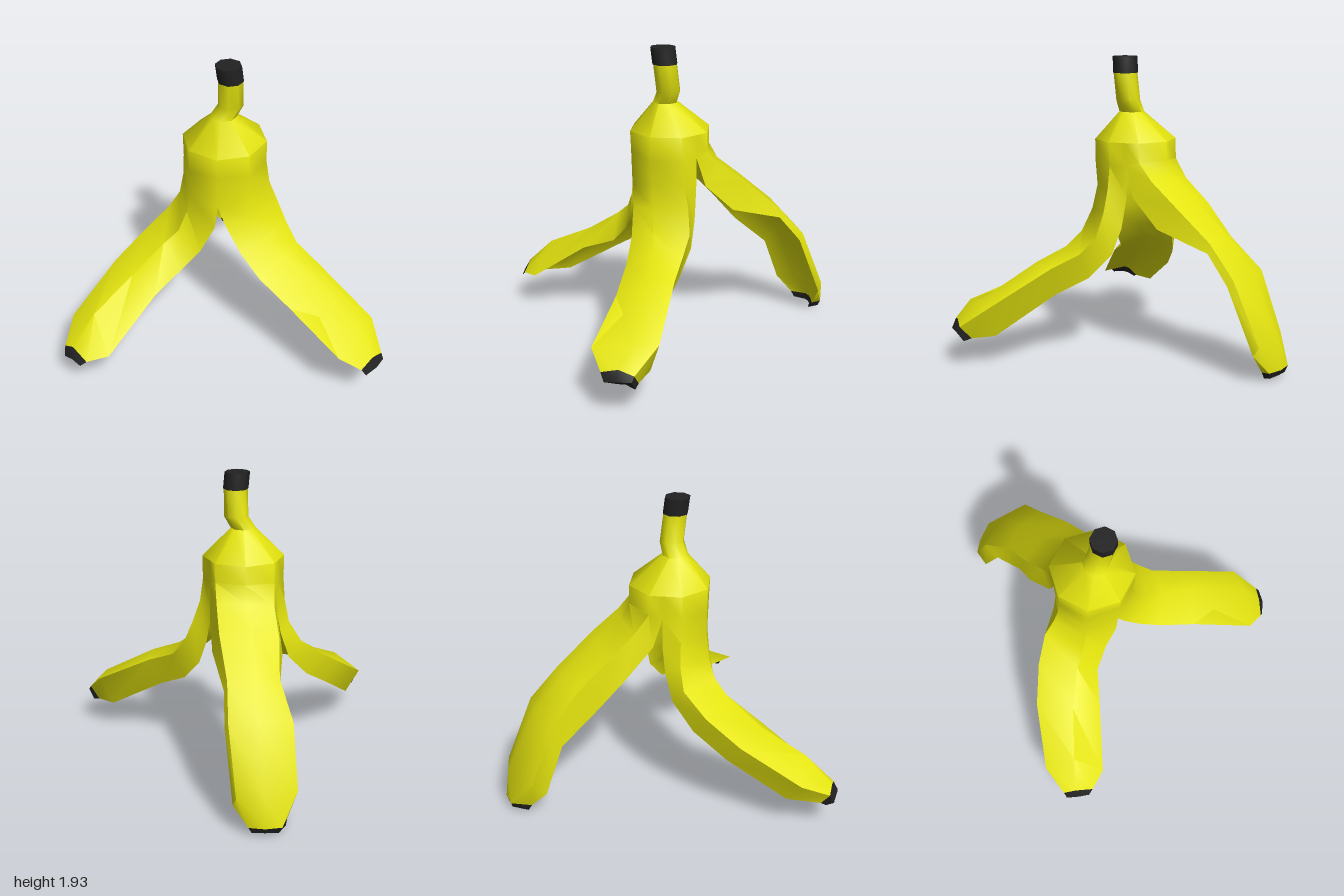
import * as THREE from 'three';
import { mergeGeometries, toCreasedNormals } from 'three/addons/utils/BufferGeometryUtils.js';

const yellow = new THREE.MeshStandardMaterial({ color: 0xe4e40f, side: THREE.DoubleSide });
yellow.name = 'banana yellow';
const black = new THREE.MeshStandardMaterial({ color: 0x222222, side: THREE.DoubleSide });
black.name = 'tip black';

// Skins a list of cross-sections (each a list of [x, y, z]), ordered from top to bottom
function loft(rows) {
  const n = rows[0].length;
  const index = [];
  for (let i = 0; i < rows.length - 1; i++) {
    for (let j = 0; j < n - 1; j++) {
      const a = i * n + j, b = a + 1, c = a + n, d = c + 1;
      index.push(a, b, c, b, d, c);
    }
  }
  const geometry = new THREE.BufferGeometry();
  geometry.setAttribute('position', new THREE.Float32BufferAttribute(rows.flat(2), 3));
  geometry.setIndex(index);
  return geometry;
}

// Joins lofts into one mesh, smooth across their shared edges
function part(name, material, lofts) {
  const mesh = new THREE.Mesh(toCreasedNormals(mergeGeometries(lofts), 0.9), material);
  mesh.name = name;
  return mesh;
}

// Eight-sided ring, running from the front round by -x
function ring([y, cx, cz, r]) {
  return Array.from({ length: 9 }, (_, k) => {
    const t = (k % 8) * Math.PI / 4;
    return [cx - r * Math.sin(t), y, cz + r * Math.cos(t)];
  });
}

// Inner face of one cross-section: the ridges sink towards the chord and close into a narrow groove
function innerRow(outer) {
  const points = outer.map(p => new THREE.Vector3(...p));
  const chord = new THREE.Line3(points[0], points.at(-1));
  const middle = chord.getCenter(new THREE.Vector3());
  return points.map((p, j) => {
    if (j === 0 || j === points.length - 1) return p.toArray();
    const foot = chord.closestPointToPoint(p, true, new THREE.Vector3());
    const height = p.clone().sub(foot).multiplyScalar(0.5);
    return foot.lerp(middle, 0.5).add(height).toArray();
  });
}

// Closed cross-sections of a thick strip of peel between lengthwise rails
function peelSections(rails) {
  const outer = rails[0].map((_, i) => rails.map(rail => rail[i]));
  return outer.map(row => [...row, ...innerRow(row).toReversed().slice(1)]);
}

// Rails: front edge, front ridge, back ridge, back edge
const rightRails = [
  [[-.1, 1.4, .37], [-.1, 1.27, .365], [-.1, 1.05, .36], [-.12, .9, .37], [-.21, .72, .38],
    [-.33, .59, .44], [-.46, .51, .62], [-.69, .25, .93], [-.82, .23, .98], [-.86, .2, .99]],
  [[-.285, 1.4, .293], [-.285, 1.25, .29], [-.29, 1.08, .29], [-.31, .95, .3], [-.36, .82, .33],
    [-.45, .74, .38], [-.62, .59, .54], [-.81, .45, .78], [-.92, .285, .92], [-.92, .22, .96]],
  [[-.362, 1.4, .108], [-.36, 1.25, .11], [-.37, 1.1, .1], [-.4, .95, .09], [-.48, .82, .09],
    [-.62, .69, .19], [-.78, .55, .36], [-.98, .34, .69], [-.985, .25, .88], [-.985, .19, .91]],
  [[-.317, 1.4, 0], [-.315, 1.25, 0], [-.31, 1.06, 0], [-.34, .9, .01], [-.4, .72, .04],
    [-.53, .56, .14], [-.69, .42, .31], [-.88, .2, .64], [-.95, .18, .84], [-.96, .165, .87]],
];

// Rails: back edge, back ridge, front ridge, front edge
const leftRails = [
  [[.117, 1.4, 0], [.115, 1.25, 0], [.11, 1.05, 0], [.14, .85, .02], [.19, .68, .06],
    [.29, .53, .17], [.45, .43, .31], [.8, .2, .5], [.91, .19, .6], [.95, .175, .63]],
  [[.162, 1.4, .108], [.16, 1.25, .1], [.18, 1.1, .1], [.23, .96, .09], [.29, .81, .1],
    [.37, .7, .17], [.53, .62, .27], [.89, .4, .47], [.97, .27, .64], [.985, .24, .66]],
  [[.085, 1.4, .293], [.085, 1.25, .29], [.08, 1.1, .28], [.12, .95, .29], [.2, .81, .31],
    [.32, .72, .34], [.5, .64, .42], [.85, .41, .61], [.92, .3, .72], [.95, .24, .74]],
  [[-.1, 1.4, .37], [-.1, 1.27, .365], [-.1, 1.05, .36], [-.05, .92, .37], [.05, .75, .41],
    [.18, .62, .48], [.39, .51, .6], [.72, .36, .83], [.86, .27, .81], [.89, .22, .8]],
];

// Rails: right edge, right ridge, spine, left ridge, left edge (this strip twists as it falls)
const backRails = [
  [[-.317, 1.4, 0], [-.315, 1.25, 0], [-.31, 1.06, -.06], [-.33, .86, -.25], [-.3, .67, -.41],
    [-.33, .46, -.65], [-.38, .16, -.77], [-.32, .05, -.86], [-.31, .01, -.88]],
  [[-.285, 1.4, -.077], [-.285, 1.27, -.08], [-.28, 1.15, -.17], [-.3, 1.0, -.34], [-.29, .81, -.53],
    [-.36, .61, -.72], [-.38, .23, -.86], [-.28, .06, -.985], [-.26, .02, -.975]],
  [[-.1, 1.4, -.154], [-.1, 1.28, -.155], [-.1, 1.18, -.21], [-.12, 1.05, -.37], [-.14, .85, -.6],
    [-.16, .64, -.79], [-.18, .24, -.98], [-.18, .06, -1], [-.18, .025, -.985]],
  [[.085, 1.4, -.077], [.085, 1.28, -.08], [.08, 1.17, -.18], [.07, 1.04, -.35], [.03, .83, -.6],
    [.03, .63, -.78], [-.01, .23, -.95], [-.08, .06, -.98], [-.1, .02, -.97]],
  [[.117, 1.4, 0], [.115, 1.25, 0], [.12, 1.06, -.06], [.11, .88, -.25], [.05, .77, -.6],
    [.05, .59, -.75], [.01, .18, -.92], [-.09, .05, -.92], [-.13, 0, -.91]],
];

export function createModel() {
  const model = new THREE.Group();
  model.name = 'bananaPeel';

  // Stem flaring out into the shoulder, given as [y, centre x, centre z, radius]
  const body = [
    [1.84, -.052, .153, .076], [1.65, -.055, .13, .077], [1.575, -.1, .14, .08],
    [1.4, -.1, .108, .262],
  ];
  const skin = [loft(body.map(ring))];

  // Dark cut end of the stem
  const cap = [
    [1.93, -.062, .162, 0], [1.93, -.062, .162, .08], [1.825, -.052, .152, .08], [1.825, -.052, .152, .07],
  ];
  model.add(part('stemCap', black, [loft(cap.map(ring))]));

  // Three strips of peel; the last span of each is its dark tip, closed at the end
  for (const [name, rails] of Object.entries({ right: rightRails, left: leftRails, back: backRails })) {
    const sections = peelSections(rails);
    const end = sections.at(-1);
    const endFaces = [end.slice(0, rails.length), end.slice(rails.length - 1).toReversed()];
    skin.push(loft(sections.slice(0, -1)));
    model.add(part(name + 'PeelTip', black, [loft(sections.slice(-2)), loft(endFaces)]));
  }
  model.add(part('peelSkin', yellow, skin));
  return model;
}
